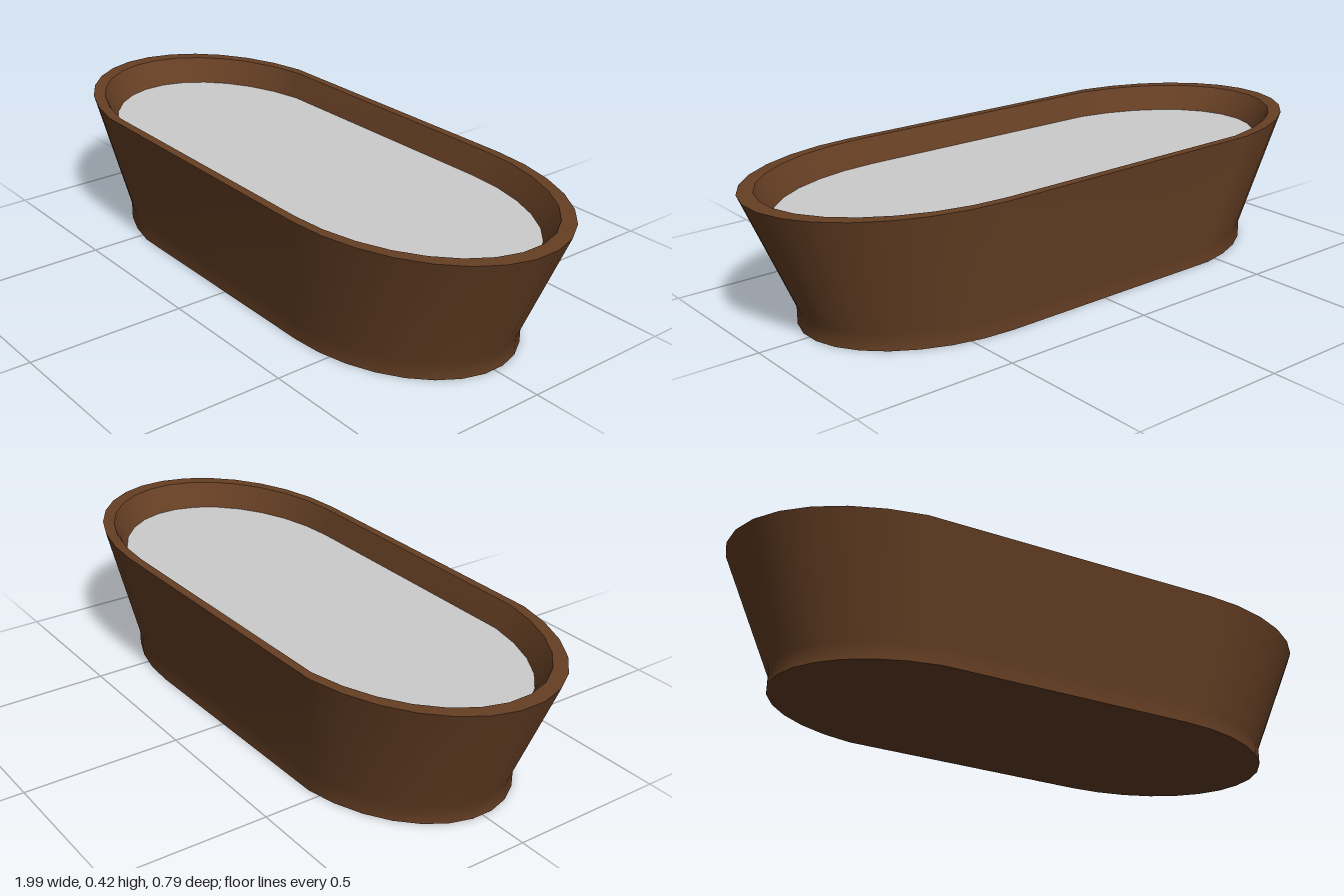
import * as THREE from 'three';

const brown = new THREE.MeshStandardMaterial({ color: 0x663f24 });
const grey = new THREE.MeshStandardMaterial({ color: 0xcccccc });

// Long oval outline (x, z): two half ellipses joined by straight sides
function ovalOutline() {
  const pts = [];
  const half = 0.43, rx = 0.57, rz = 0.397, step = Math.PI / 15;
  for (let i = -7.5; i <= 7.5; i++) {
    pts.push([half + rx * Math.cos(i * step), rz * Math.sin(i * step)]);
  }
  // the left end starts one step past the tangent point
  for (let i = 8.5; i <= 21.5; i++) {
    pts.push([-half + rx * Math.cos(i * step), rz * Math.sin(i * step)]);
  }
  return pts;
}

// Skin through rings given as [x scale, z scale, height]
function loft(name, rings, material) {
  const outline = ovalOutline(), n = outline.length;
  const pos = [], index = [];
  for (const [sx, sz, y] of rings) {
    for (const [x, z] of outline) pos.push(x * sx, y, z * sz);
  }
  for (let k = 0; k < rings.length - 1; k++) {
    for (let i = 0; i < n; i++) {
      const a = k * n + i, b = k * n + (i + 1) % n;
      if (rings[k][0] > 0) index.push(a, a + n, b);
      if (rings[k + 1][0] > 0) index.push(b, a + n, b + n);
    }
  }
  const geo = new THREE.BufferGeometry();
  geo.setAttribute('position', new THREE.Float32BufferAttribute(pos, 3));
  geo.setIndex(index);
  geo.computeVertexNormals();
  const mesh = new THREE.Mesh(geo, material);
  mesh.name = name;
  return mesh;
}

export function createModel() {
  const group = new THREE.Group();
  group.name = 'ovalTub';

  const foot = [0.84, 0.84, 0];
  const rimOuter = [1, 1, 0.424];
  const rimInner = [0.95, 0.93, 0.424];
  const fillEdge = [0.9, 0.857, 0.345];

  group.add(
    loft('underside', [[0, 0, 0], foot], brown),
    // upright foot band, then the flared side
    loft('outerWall', [foot, [0.84, 0.84, 0.055], rimOuter], brown),
    loft('rim', [rimOuter, rimInner], brown),
    loft('innerWall', [rimInner, fillEdge], brown),
    loft('fillSurface', [fillEdge, [0, 0, 0.345]], grey)
  );
  return group;
}
